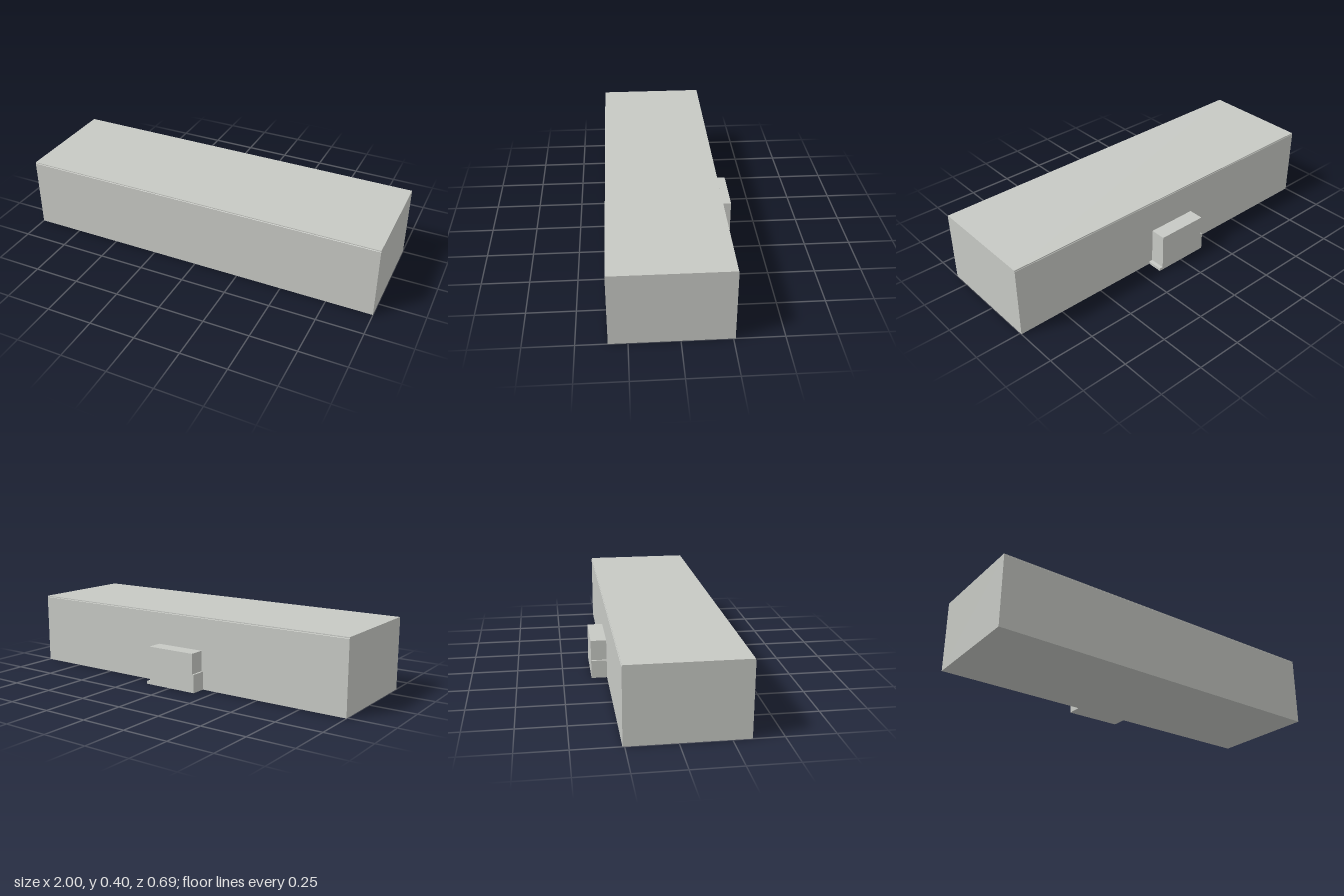
import * as THREE from 'three';

export function createModel() {
  const model = new THREE.Group();
  const grey = new THREE.MeshStandardMaterial({ color: 0xc7c9c4 });
  grey.name = 'warm grey';

  // Long body: side section (z, y) with a hairline step under the top edge
  const section = new THREE.Shape([
    [-0.26, 0], [0.345, 0], [0.345, 0.387], [0.343, 0.389], [0.343, 0.395],
    [-0.258, 0.395], [-0.258, 0.389], [-0.26, 0.387],
  ].map(([z, y]) => new THREE.Vector2(z, y)));
  const bodyGeometry = new THREE.ExtrudeGeometry(section, { depth: 2, bevelEnabled: false });
  bodyGeometry.rotateY(-Math.PI / 2).translate(1, 0, 0);
  const body = new THREE.Mesh(bodyGeometry, grey);
  body.name = 'body';
  model.add(body);

  // Boxes on the back wall, given by their x range and height
  const addBackBox = (name, x0, x1, height) => {
    const geometry = new THREE.BoxGeometry(x1 - x0, height, 0.085);
    geometry.translate((x0 + x1) / 2, height / 2, -0.3025);
    const mesh = new THREE.Mesh(geometry, grey);
    mesh.name = name;
    model.add(mesh);
  };
  addBackBox('entranceBlock', -0.151, 0.135, 0.212);
  addBackBox('entranceStep', 0.135, 0.156, 0.016); // low ledge on the left
  addBackBox('sideStrip', -0.162, -0.151, 0.1); // thin strip on the right

  return model;
}
